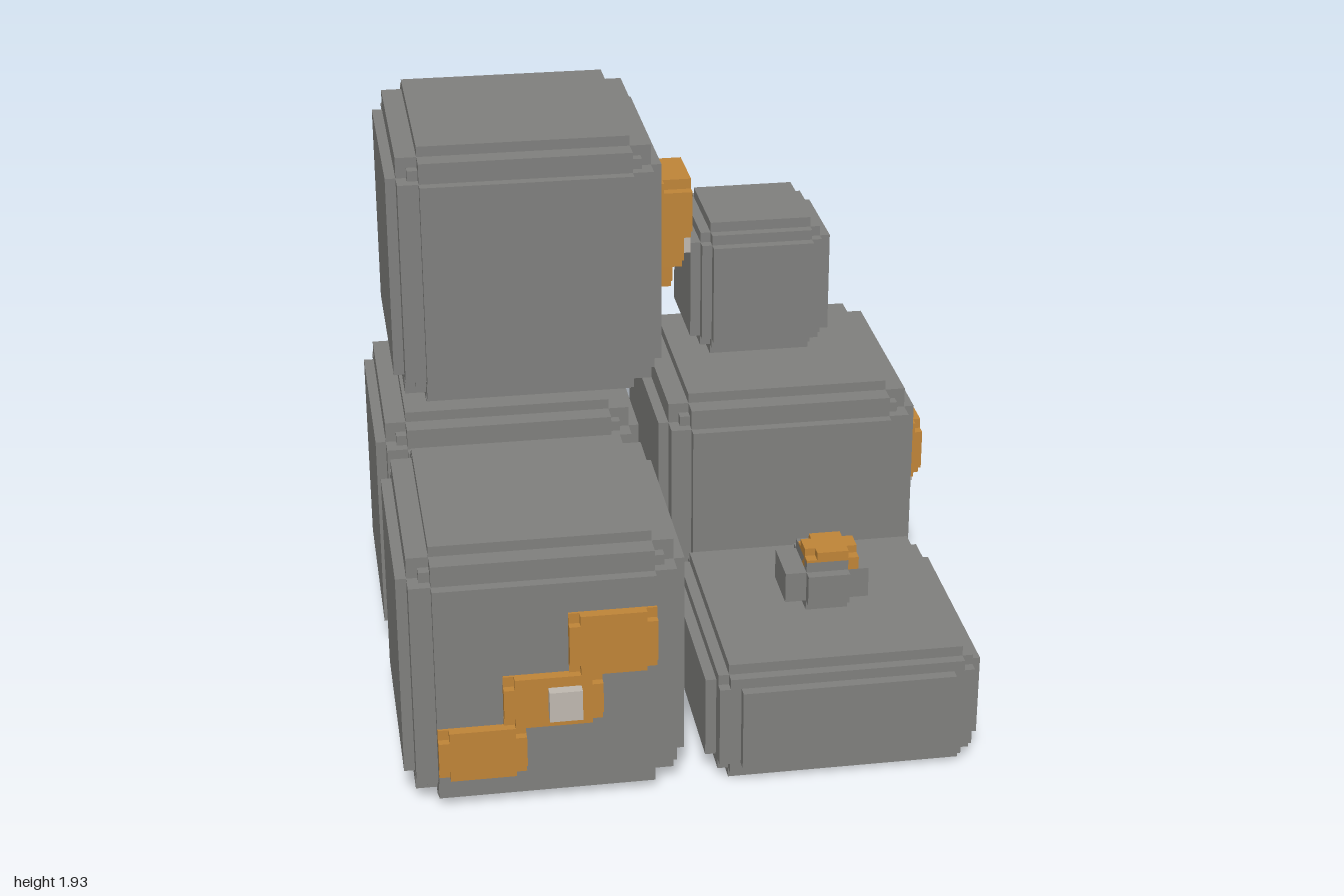
import * as THREE from 'three';
import { mergeGeometries } from 'three/addons/utils/BufferGeometryUtils.js';

const V = 1 / 28; // step size of the stepped edges

const grey = new THREE.MeshStandardMaterial({ color: 0x80807e });
grey.name = 'stone grey';
const orange = new THREE.MeshStandardMaterial({ color: 0xc08538 });
orange.name = 'ore orange';
const pale = new THREE.MeshStandardMaterial({ color: 0xc0b9b0 });
pale.name = 'pale chip';

// Box between two corners, inset by whole steps along each axis
function box(min, max, inset = [0, 0, 0]) {
  const lo = min.map((m, i) => m + inset[i] * V);
  const hi = max.map((m, i) => m - inset[i] * V);
  const g = new THREE.BoxGeometry(...hi.map((h, i) => h - lo[i]));
  return g.translate(...hi.map((h, i) => (h + lo[i]) / 2));
}

function part(name, material, boxes) {
  const mesh = new THREE.Mesh(mergeGeometries(boxes), material);
  mesh.name = name;
  return mesh;
}

// Insets of the boxes that make each kind of stepped block
const LARGE = [[0, 3, 3], [3, 0, 3], [3, 3, 0], [1, 1, 3], [1, 3, 1], [3, 1, 1], [2, 2, 2]];
const LOW = [[0, 2, 3], [2, 0, 2], [3, 2, 0], [1, 1, 2], [2, 1, 1], [1, 2, 1]];
const SMALL = [[0, 2, 2], [2, 0, 2], [2, 2, 0], [1, 1, 2], [1, 2, 1], [2, 1, 1]];
const KNOB = [[0, 1, 1], [2, 0, 1], [2, 1, 0], [1, 1, 1]];

function block(name, min, max, insets) {
  return part(name, grey, insets.map((i) => box(min, max, i)));
}

// Plate facing along +x or +z with notched corners over a thin backing.
// u is the horizontal range, y the vertical one, d the depth range.
function plate(axis, u, y, d) {
  const make = (iu, iy, depth) => {
    const a = [u[0], y[0], d[0]], b = [u[1], y[1], depth];
    const inset = [iu, iy, 0];
    if (axis === 'x') [a, b, inset].forEach((p) => p.reverse());
    return box(a, b, inset);
  };
  return [make(1, 0, d[1]), make(0, 1, d[1]), make(0, 0, d[0] + 0.009)];
}

// Diagonal vein of three plates with a pale chip on the middle one
function vein(name, axis, plates, depth, chip) {
  const group = new THREE.Group();
  group.name = name;
  group.add(part('orePlates', orange, plates.flatMap(([u, y]) => plate(axis, u, y, depth))));
  group.add(part('chip', pale, [box(...chip)]));
  return group;
}

export function createModel() {
  const model = new THREE.Group();
  model.name = 'blockPile';

  // Large blocks
  const S = 26 * V;
  const corners = {
    frontRightBlock: [-1, 0, 0],
    backRightBlock: [-1, 0, -1],
    backLeftBlock: [0, 0, -1],
    upperBlock: [-S, 1, -S],
  };
  for (const [name, c] of Object.entries(corners)) {
    model.add(block(name, c, c.map((v) => v + S), LARGE));
  }

  // Low, small and knob blocks
  model.add(block('lowBlock', [0, 0, 0], [S, 12 * V, S], LOW));
  model.add(block('smallBlock', [4 * V, 1, -22 * V], [18 * V, 1 + 14 * V, -8 * V], SMALL));
  model.add(block('knob', [9 * V, 12 * V, 9 * V], [17 * V, 17 * V, 16 * V], KNOB));

  // Notched cap on the knob
  const capMin = [11 * V, 16 * V, 11 * V], capMax = [16 * V, 18 * V, 15 * V];
  model.add(part('knobCap', orange, [
    box(capMin, capMax, [1, 0, 0]),
    box(capMin, capMax, [0, 0, 1]),
    box(capMin, [capMax[0], 17 * V + 0.009, capMax[2]]),
  ]));

  // Veins on the front and left faces
  model.add(vein('frontVein', 'z', [
    [[-25 * V, -17 * V], [4 * V, 9 * V]],
    [[-19 * V, -10 * V], [9 * V, 14 * V]],
    [[-13 * V, -5 * V], [14 * V, 20 * V]],
  ], [S, 27 * V], [[-15 * V, 10 * V, 27 * V], [-12 * V, 13 * V, 1]]));

  model.add(vein('leftVein', 'x', [
    [[-13 * V, -5 * V], [15 * V, 21 * V]],
    [[-19 * V, -10 * V], [10 * V, 15 * V]],
    [[-25 * V, -17 * V], [5 * V, 10 * V]],
  ], [S, 27 * V], [[27 * V, 11 * V, -15 * V], [1, 14 * V, -12 * V]]));

  model.add(vein('upperVein', 'x', [
    [[-11 * V, -3 * V], [1 + 15 * V, 1 + 21 * V]],
    [[-17 * V, -8 * V], [1 + 10 * V, 1 + 15 * V]],
    [[-23 * V, -15 * V], [1 + 5 * V, 1 + 10 * V]],
  ], [0, 3 * V], [[3 * V, 1 + 11 * V, -13 * V], [4 * V, 1 + 14 * V, -10 * V]]));

  return model;
}
